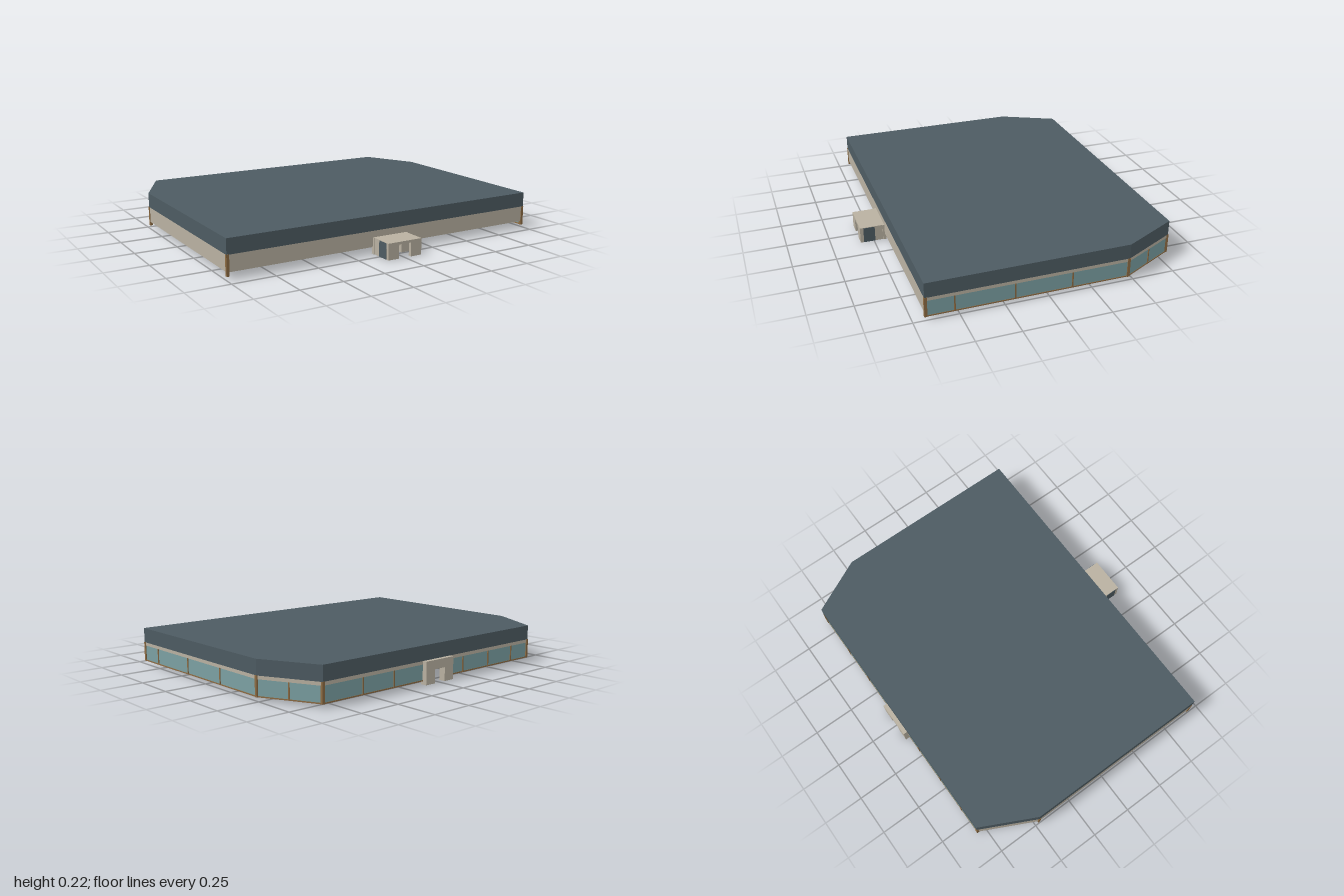
import * as THREE from 'three';

const mat = (name, color) => {
  const m = new THREE.MeshStandardMaterial({ color });
  m.name = name;
  return m;
};

export function createModel() {
  const model = new THREE.Group();
  model.name = 'pavilion';
  const beige = mat('beige render', 0xb9b1a1);
  const slate = mat('slate cladding', 0x4d5b62);
  const glass = mat('teal glass', 0x7ba0a2);
  const brown = mat('brown frame', 0x8c6b43);
  const dark = mat('dark fitting', 0x34383a);

  const add = (name, geo, m, parent = model) => {
    const mesh = new THREE.Mesh(geo, m);
    mesh.name = name;
    parent.add(mesh);
    return mesh;
  };
  // Box given by its limits on each axis
  const box = (name, m, x0, x1, y0, y1, z0, z1, parent) => {
    const mesh = add(name, new THREE.BoxGeometry(x1 - x0, y1 - y0, z1 - z0), m, parent);
    mesh.position.set((x0 + x1) / 2, (y0 + y1) / 2, (z0 + z1) / 2);
    return mesh;
  };
  // Upright panel along the plan line from a to b
  const panel = (name, m, a, b, y0, y1, thick) => {
    const dx = b[0] - a[0], dz = b[1] - a[1];
    const mesh = add(name, new THREE.BoxGeometry(Math.hypot(dx, dz), y1 - y0, thick), m);
    mesh.position.set((a[0] + b[0]) / 2, (y0 + y1) / 2, (a[1] + b[1]) / 2);
    mesh.rotation.y = -Math.atan2(dz, dx);
    return mesh;
  };
  // Flat slab from a plan outline of [x, z] points
  const slab = (name, m, pts, y0, y1) => {
    const shape = new THREE.Shape(pts.map(([x, z]) => new THREE.Vector2(x, -z)));
    const geo = new THREE.ExtrudeGeometry(shape, { depth: y1 - y0, bevelEnabled: false });
    geo.rotateX(-Math.PI / 2);
    add(name, geo, m).position.y = y0;
  };
  const outline = (i) => [
    [-0.995 + i, 0.685 - i], [0.995 - i, 0.685 - i], [0.995 - i, -0.475 + i * 0.6],
    [0.83 - i * 0.7, -0.805 + i], [-0.83 + i * 0.7, -0.805 + i], [-0.995 + i, -0.475 + i * 0.6],
  ];

  // Roof box and ceiling
  slab('roof', slate, outline(0), 0.133, 0.22);
  slab('ceiling', beige, outline(0.012), 0.118, 0.134);

  const [fl, fr, r, br, bl, l] = outline(0.006);
  // Solid walls: front on both sides of the door, then the right side and its chamfer
  panel('frontWall', beige, fl, [-0.04, fl[1]], 0.04, 0.134, 0.01);
  panel('frontWall', beige, [0.04, fr[1]], fr, 0.04, 0.134, 0.01);
  panel('frontLintel', beige, [-0.04, fl[1]], [0.04, fl[1]], 0.08, 0.134, 0.01);
  panel('sideWall', beige, l, fl, 0.04, 0.134, 0.01);
  panel('chamferWall', beige, bl, l, 0.04, 0.134, 0.01);

  // Glazed runs with a head band, sill rail and mullions
  const glazed = (a, b, fractions) => {
    panel('glazing', glass, a, b, 0.024, 0.114, 0.006);
    panel('headBand', beige, a, b, 0.113, 0.134, 0.01);
    panel('sillRail', brown, a, b, 0.018, 0.025, 0.01);
    for (const t of fractions) {
      const m = box('mullion', brown, -0.004, 0.004, 0.02, 0.114, -0.007, 0.007);
      m.position.x = a[0] + (b[0] - a[0]) * t;
      m.position.z = a[1] + (b[1] - a[1]) * t;
      m.rotation.y = -Math.atan2(b[1] - a[1], b[0] - a[0]);
    }
  };
  glazed(fr, r, [0.135, 0.425, 0.71]);
  glazed(r, br, [0.5]);
  glazed(br, [0.1, br[1]], [0.37, 0.68]);
  glazed([-0.1, bl[1]], bl, [0.17, 0.48, 0.78]);

  // Corner posts
  for (const [x, z] of [fl, fr, r, br, bl, l])
    box('cornerPost', brown, x - 0.008, x + 0.008, 0.018, 0.134, z - 0.008, z + 0.008);

  // Door surround with an opening down to the ground
  const portal = (name, half, height, z0, z1) => {
    const s = new THREE.Shape([
      [-half, 0], [-0.04, 0], [-0.04, 0.08], [0.04, 0.08], [0.04, 0],
      [half, 0], [half, height], [-half, height],
    ].map(([x, y]) => new THREE.Vector2(x, y)));
    const geo = new THREE.ExtrudeGeometry(s, { depth: z1 - z0, bevelEnabled: false });
    add(name, geo, beige).position.z = z0;
  };
  portal('backPortal', 0.11, 0.133, -0.83, -0.79);
  portal('frontPortal', 0.115, 0.095, 0.675, 0.695);

  // Front porch: canopy, legs and slate side screens
  const porch = new THREE.Group();
  porch.name = 'porch';
  model.add(porch);
  box('canopy', beige, -0.11, 0.11, 0.08, 0.095, 0.69, 0.83, porch);
  for (const s of [-1, 1]) {
    const side = (name, m, x0, x1, y1, z0, z1) =>
      box(name, m, Math.min(s * x0, s * x1), Math.max(s * x0, s * x1), 0, y1, z0, z1, porch);
    side('frontLeg', beige, 0.04, 0.11, 0.081, 0.81, 0.83);
    side('rearLeg', beige, 0.04, 0.11, 0.081, 0.69, 0.742);
    side('sideScreen', slate, 0.1, 0.1115, 0.092, 0.742, 0.81);
  }

  // Ceiling fittings and the curved soffit inside the front door
  for (const x of [-0.56, 0.56])
    for (const z of [-0.5, 0.18, 0.5])
      box('ceilingFitting', dark, x - 0.022, x + 0.022, 0.112, 0.119, z - 0.014, z + 0.014);
  const arc = [];
  for (let i = 0; i <= 16; i++) {
    const a = Math.PI * i / 16;
    arc.push([0.16 * Math.cos(a), 0.64 - 0.1 * Math.sin(a)]);
  }
  slab('curvedSoffit', beige, arc, 0.11, 0.119);

  return model;
}
